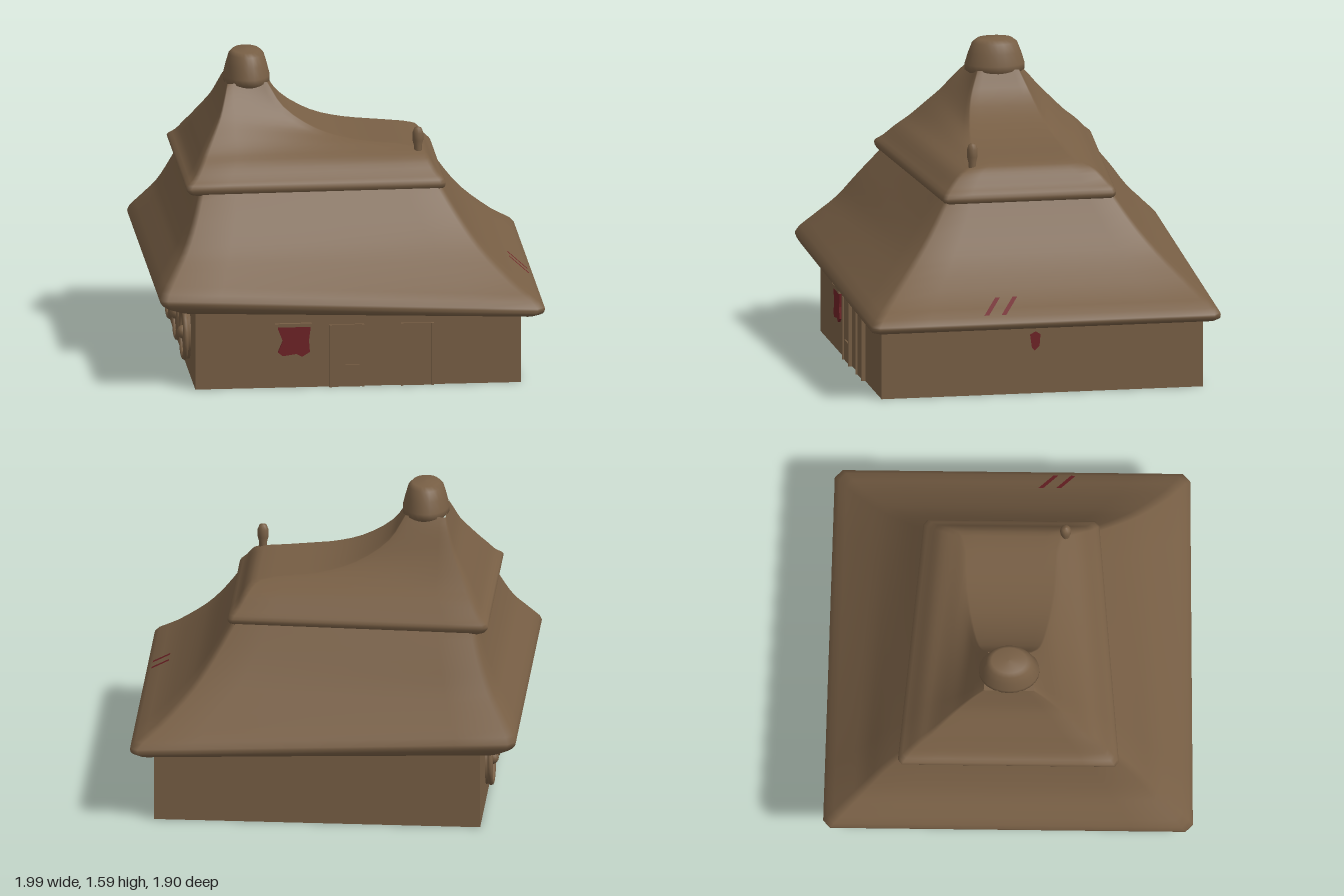
import * as THREE from 'three';

export function createModel() {
  const model = new THREE.Group();
  const brown = new THREE.MeshStandardMaterial({ color: 0x785f45 });
  brown.name = 'thatch brown';
  const red = new THREE.MeshStandardMaterial({ color: 0x6e2226, side: THREE.DoubleSide });
  red.name = 'deep red';

  function add(name, geometry, material, x = 0, y = 0, z = 0) {
    const mesh = new THREE.Mesh(geometry, material);
    mesh.name = name;
    mesh.position.set(x, y, z);
    model.add(mesh);
    return mesh;
  }

  // Roof tier from rings; each row is [left x, y, half depth, right x, y, half depth]
  function roofTier(rows) {
    const left = new THREE.CatmullRomCurve3(rows.map(r => new THREE.Vector3(r[0], r[1], r[2])), false, 'centripetal');
    const right = new THREE.CatmullRomCurve3(rows.map(r => new THREE.Vector3(r[3], r[4], r[5])), false, 'centripetal');
    const steps = (rows.length - 1) * 3, perSide = 8, n = perSide * 4;
    const pos = [], index = [];
    for (let k = 0; k <= steps; k++) {
      const l = left.getPoint(k / steps), r = right.getPoint(k / steps);
      const flip = v => new THREE.Vector3(v.x, v.y, -v.z);
      const corners = [l, r, flip(r), flip(l)];
      for (let s = 0; s < 4; s++) {
        for (let i = 0; i < perSide; i++) {
          // small gap at each end softens the hips
          const t = 0.02 + 0.96 * i / (perSide - 1);
          const p = corners[s].clone().lerp(corners[(s + 1) % 4], t);
          pos.push(p.x, p.y, p.z);
        }
      }
    }
    for (let k = 0; k < steps; k++) {
      for (let i = 0; i < n; i++) {
        const a = k * n + i, b = k * n + (i + 1) % n;
        index.push(a, b, b + n, a, b + n, a + n);
      }
    }
    const g = new THREE.BufferGeometry();
    g.setAttribute('position', new THREE.Float32BufferAttribute(pos, 3));
    g.setIndex(index);
    g.computeVertexNormals();
    return g;
  }

  // Walls with a red underside
  add('walls', new THREE.BoxGeometry(1.68, 0.42, 1.68),
    [brown, brown, brown, red, brown, brown], 0.03, 0.21, 0.005);

  add('lowerRoof', roofTier([
    [-0.79, 0.41, 0.82, 0.86, 0.37, 0.82],
    [-0.90, 0.42, 0.90, 0.92, 0.355, 0.88],
    [-0.98, 0.46, 0.94, 0.98, 0.37, 0.91],
    [-1.00, 0.50, 0.95, 0.99, 0.40, 0.91],
    [-0.94, 0.60, 0.86, 0.86, 0.50, 0.81],
    [-0.87, 0.70, 0.76, 0.70, 0.65, 0.66],
    [-0.81, 0.83, 0.66, 0.60, 0.78, 0.55],
    [-0.76, 0.97, 0.54, 0.48, 0.97, 0.42],
  ]), brown);

  // Upper tier sweeps along the sagging ridge to the peak
  add('upperRoof', roofTier([
    [-0.75, 0.96, 0.51, 0.46, 0.93, 0.41],
    [-0.80, 0.95, 0.55, 0.51, 0.93, 0.44],
    [-0.83, 0.99, 0.57, 0.52, 0.96, 0.45],
    [-0.79, 1.03, 0.53, 0.48, 1.01, 0.41],
    [-0.75, 1.09, 0.47, 0.44, 1.07, 0.35],
    [-0.72, 1.14, 0.41, 0.38, 1.11, 0.26],
    [-0.67, 1.22, 0.33, 0.08, 1.145, 0.23],
    [-0.63, 1.29, 0.26, -0.12, 1.20, 0.20],
    [-0.60, 1.37, 0.19, -0.29, 1.31, 0.16],
    [-0.58, 1.43, 0.13, -0.37, 1.43, 0.11],
  ]), brown);

  // Rounded cap on the peak
  const capProfile = [[0.10, 1.40], [0.12, 1.42], [0.12, 1.45], [0.105, 1.51], [0.09, 1.56], [0.07, 1.58], [0, 1.585]];
  const cap = add('peakCap', new THREE.LatheGeometry(capProfile.map(p => new THREE.Vector2(...p)), 24), brown, -0.47);
  cap.scale.z = 1.3;

  // Small post at the low end of the ridge
  const postProfile = [[0.022, 1.03], [0.02, 1.12], [0.028, 1.15], [0.028, 1.19], [0.018, 1.215], [0, 1.22]];
  add('ridgePost', new THREE.LatheGeometry(postProfile.map(p => new THREE.Vector2(...p)), 12), brown, 0.39, 0, 0.28);

  // Front door panels with raised edges
  for (const [x0, x1] of [[-0.12, 0.06], [0.25, 0.42]]) {
    const w = x1 - x0, cx = (x0 + x1) / 2;
    add('doorPanel', new THREE.BoxGeometry(w, 0.33, 0.012), brown, cx, 0.165, 0.849);
    for (const x of [x0 + 0.006, x1 - 0.006]) {
      add('doorPost', new THREE.BoxGeometry(0.012, 0.33, 0.03), brown, x, 0.165, 0.85);
    }
  }
  add('doorLedge', new THREE.BoxGeometry(0.09, 0.012, 0.022), brown, -0.01, 0.11, 0.852);

  // Round shields on the right wall
  for (const z of [-0.36, 0.07, 0.47]) {
    const disc = add('wallShield', new THREE.CylinderGeometry(0.135, 0.14, 0.03, 28), brown, -0.82, 0.21, z);
    disc.rotation.z = Math.PI / 2;
    const rim = add('shieldRim', new THREE.TorusGeometry(0.13, 0.015, 8, 28), brown, -0.835, 0.21, z);
    rim.rotation.y = Math.PI / 2;
    const hub = add('shieldHub', new THREE.SphereGeometry(0.035, 12, 8), brown, -0.84, 0.21, z);
    hub.scale.x = 0.9;
  }

  // Cloth hanging on the front wall
  const cloth = new THREE.Shape([
    [-0.385, 0.315], [-0.36, 0.25], [-0.385, 0.19], [-0.36, 0.17], [-0.29, 0.18],
    [-0.26, 0.165], [-0.22, 0.19], [-0.225, 0.25], [-0.215, 0.33], [-0.38, 0.335],
  ].map(p => new THREE.Vector2(...p)));
  add('hangingCloth', new THREE.ExtrudeGeometry(cloth, { depth: 0.012, bevelEnabled: false }), red, 0, 0, 0.847);
  add('clothRod', new THREE.BoxGeometry(0.19, 0.018, 0.025), brown, -0.305, 0.333, 0.852);

  // Red patch on the left wall
  const patch = new THREE.Shape([[-0.07, 0.31], [-0.06, 0.24], [-0.045, 0.225], [-0.02, 0.25], [-0.015, 0.31], [-0.04, 0.325]]
    .map(p => new THREE.Vector2(...p)));
  add('wallPatch', new THREE.ShapeGeometry(patch), red, 0.874, 0, 0).rotation.y = Math.PI / 2;

  // Two slanted stripes on the left roof slope
  const slopeY = x => 0.508 - 0.77 * (x - 0.86);
  for (const z of [0.135, 0.225]) {
    const pts = [[0.865, z], [0.865, z + 0.025], [0.96, z + 0.1], [0.96, z + 0.075]];
    const g = new THREE.BufferGeometry();
    g.setAttribute('position', new THREE.Float32BufferAttribute(pts.flatMap(([x, pz]) => [x, slopeY(x) + 0.006, pz]), 3));
    g.setIndex([0, 1, 2, 0, 2, 3]);
    g.computeVertexNormals();
    add('roofStripe', g, red);
  }

  return model;
}
